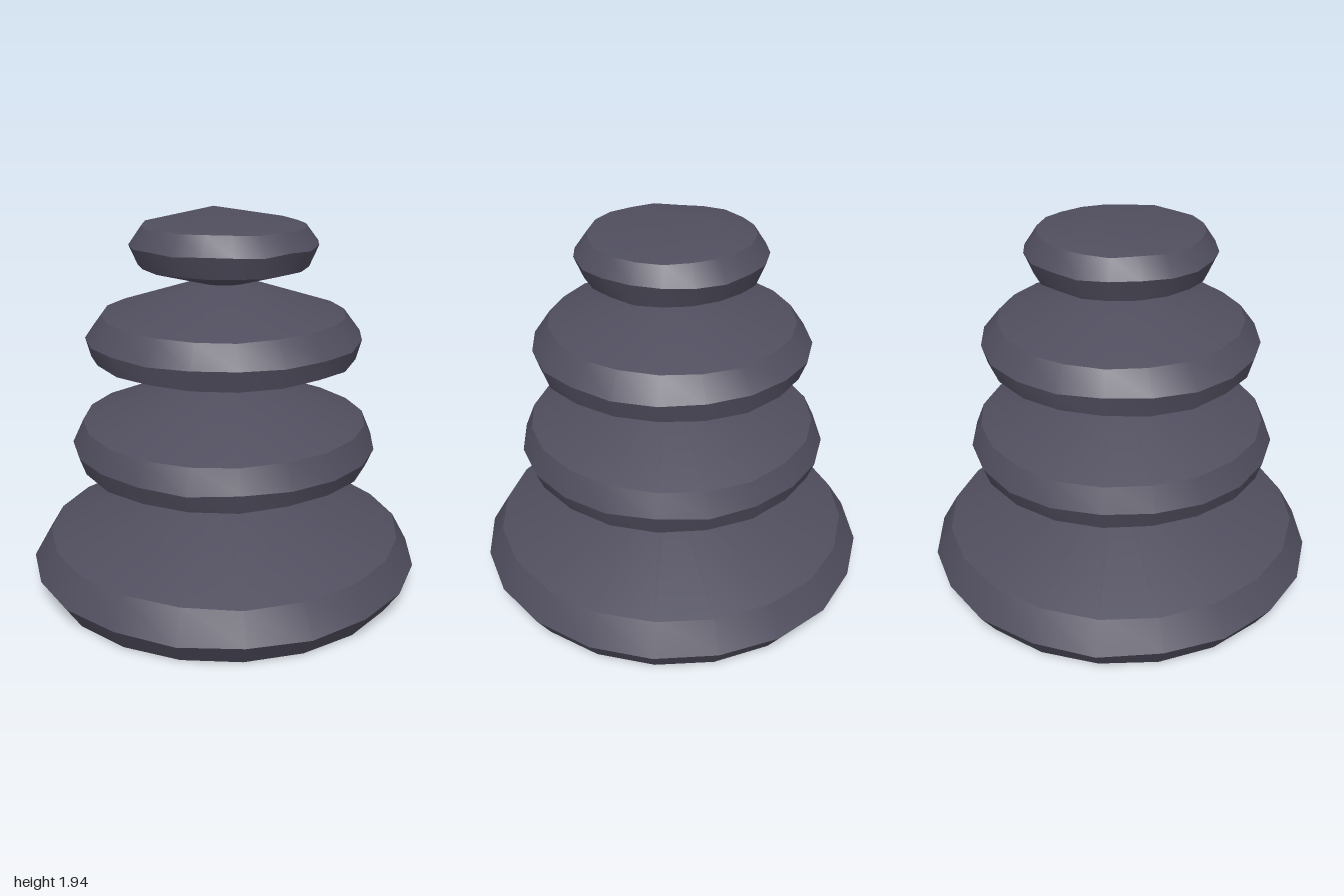
import * as THREE from 'three';
import { toCreasedNormals } from 'three/addons/utils/BufferGeometryUtils.js';

const SIDES = 20;

// Repeatable value in -1..1
function wobble(a, b) {
  const s = Math.sin(a * 12.9898 + b * 78.233) * 43758.5453;
  return 2 * (s - Math.floor(s)) - 1;
}

// Flattened stone turned from a [radius, height] profile, with slightly uneven rims
function stoneGeometry(profile, seed, apex = [0, 0]) {
  const points = profile.map(([r, y]) => new THREE.Vector2(r, y));
  const geometry = new THREE.LatheGeometry(points, SIDES, Math.PI / SIDES);
  const pos = geometry.attributes.position;
  const rows = points.length;
  for (let i = 0; i <= SIDES; i++) {
    for (let j = 0; j < rows; j++) {
      const k = i * rows + j;
      const r = profile[j][0];
      if (j === rows - 1) {
        pos.setX(k, apex[0]);
        pos.setZ(k, apex[1]);
      } else if (j >= 2 && r > 0.3) {
        const side = i % SIDES;
        const grow = 1 + 0.006 * wobble(side + 1, seed + j);
        pos.setX(k, pos.getX(k) * grow);
        pos.setZ(k, pos.getZ(k) * grow);
        pos.setY(k, pos.getY(k) + 0.006 * wobble(side + 31, seed + j));
      }
    }
  }
  geometry.deleteAttribute('uv');
  return toCreasedNormals(geometry, 0.5);
}

export function createModel() {
  const group = new THREE.Group();
  const slate = new THREE.MeshStandardMaterial({ color: 0x504e5e });
  slate.name = 'slate';

  // Stones from the ground up
  const stones = [
    {
      name: 'baseStone',
      profile: [[0, 0.005], [0.93, 0.01], [1.01, 0.13], [0.925, 0.28], [0.18, 0.56], [0, 0.565]],
    },
    {
      name: 'lowerStone',
      profile: [[0, 0.555], [0.18, 0.56], [0.745, 0.675], [0.782, 0.77], [0.73, 0.89], [0.16, 1.115], [0, 1.12]],
    },
    {
      name: 'upperStone',
      profile: [[0, 1.11], [0.16, 1.115], [0.67, 1.23], [0.698, 1.33], [0.615, 1.44], [0.13, 1.6], [0, 1.605]],
    },
    {
      name: 'topStone',
      profile: [[0, 1.595], [0.13, 1.6], [0.425, 1.685], [0.47, 1.79], [0.405, 1.88], [0, 1.945]],
      apex: [-0.16, -0.11],
    },
  ];

  stones.forEach(({ name, profile, apex }, i) => {
    const mesh = new THREE.Mesh(stoneGeometry(profile, i * 10, apex), slate);
    mesh.name = name;
    group.add(mesh);
  });
  return group;
}
